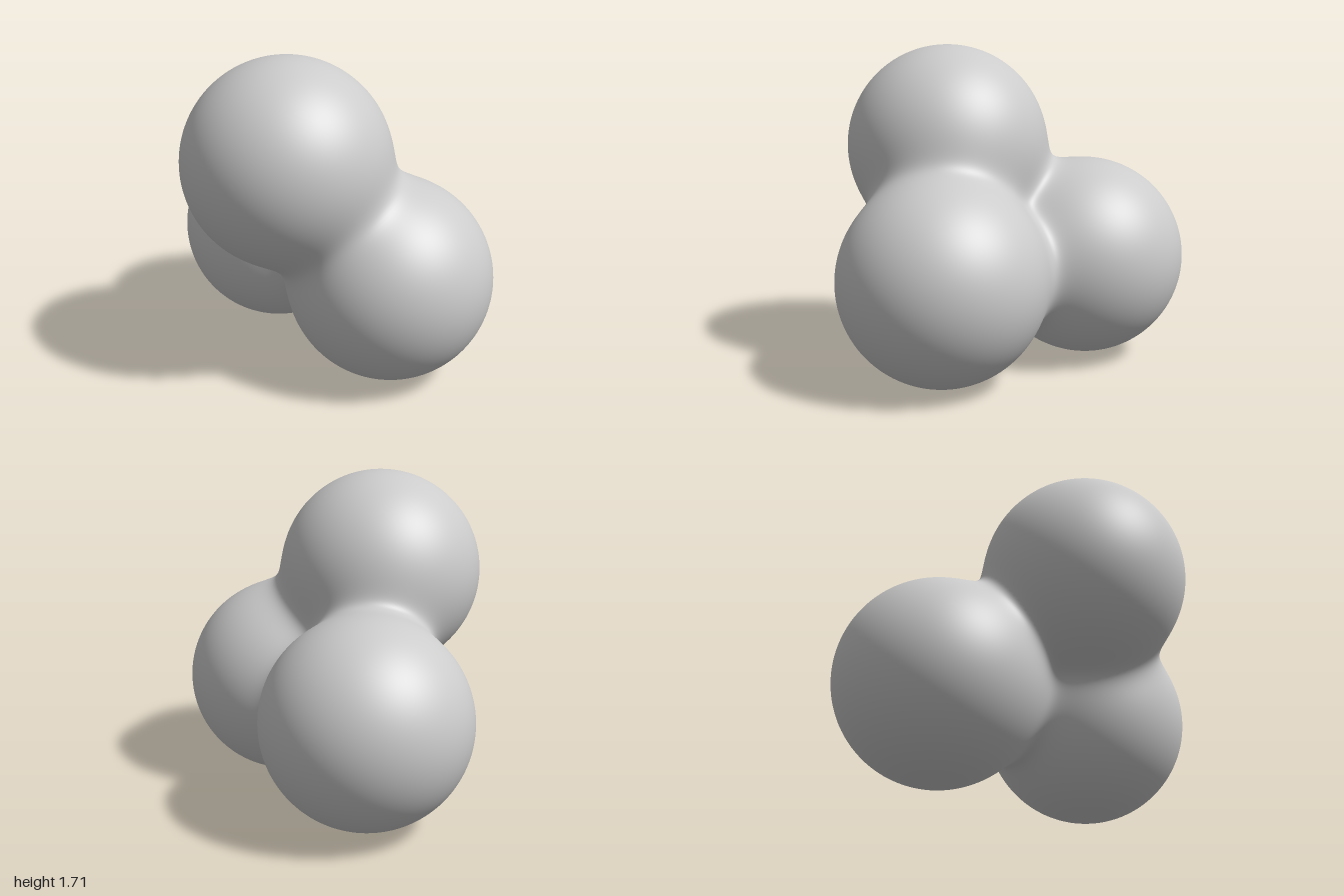
import * as THREE from 'three';
import { mergeVertices } from 'three/addons/utils/BufferGeometryUtils.js';

const RADIUS = 0.538;
const BLEND = 0.06; // softness of the fillets between lobes
const lobes = [
  new THREE.Vector3(-0.28, 1.17, 0.04), // upper lobe
  new THREE.Vector3(0.045, 0.54, 0.46), // front lobe
  new THREE.Vector3(0.28, 0.555, -0.46), // back lobe
];
// A point lying inside all three lobes, from which the whole skin is visible
const core = new THREE.Vector3(0.031, 0.745, -0.029);

// Smoothly blended signed distance to the three lobes
function field(p) {
  let sum = 0;
  for (const c of lobes) sum += Math.exp((RADIUS - p.distanceTo(c)) / BLEND);
  return -BLEND * Math.log(sum);
}

// Push a ball's vertices out from the core until they meet the blended skin
function blendedSkin(detail) {
  let geo = new THREE.IcosahedronGeometry(1, detail);
  geo.deleteAttribute('uv');
  geo.deleteAttribute('normal');
  geo = mergeVertices(geo, 1e-5);
  const pos = geo.attributes.position;
  const dir = new THREE.Vector3();
  const p = new THREE.Vector3();
  for (let i = 0; i < pos.count; i++) {
    dir.fromBufferAttribute(pos, i).normalize();
    let near = 0;
    let far = 1.4;
    for (let k = 0; k < 26; k++) {
      const mid = (near + far) / 2;
      p.copy(core).addScaledVector(dir, mid);
      if (field(p) < 0) near = mid;
      else far = mid;
    }
    p.copy(core).addScaledVector(dir, near);
    pos.setXYZ(i, p.x, Math.max(p.y, 0), p.z);
  }
  geo.computeVertexNormals();
  return geo;
}

export function createModel() {
  const group = new THREE.Group();
  group.name = 'blob';
  const material = new THREE.MeshStandardMaterial({ color: 0xcccccc });
  // Three lobes fused into one smooth body
  const body = new THREE.Mesh(blendedSkin(48), material);
  body.name = 'fusedLobes';
  group.add(body);
  return group;
}
